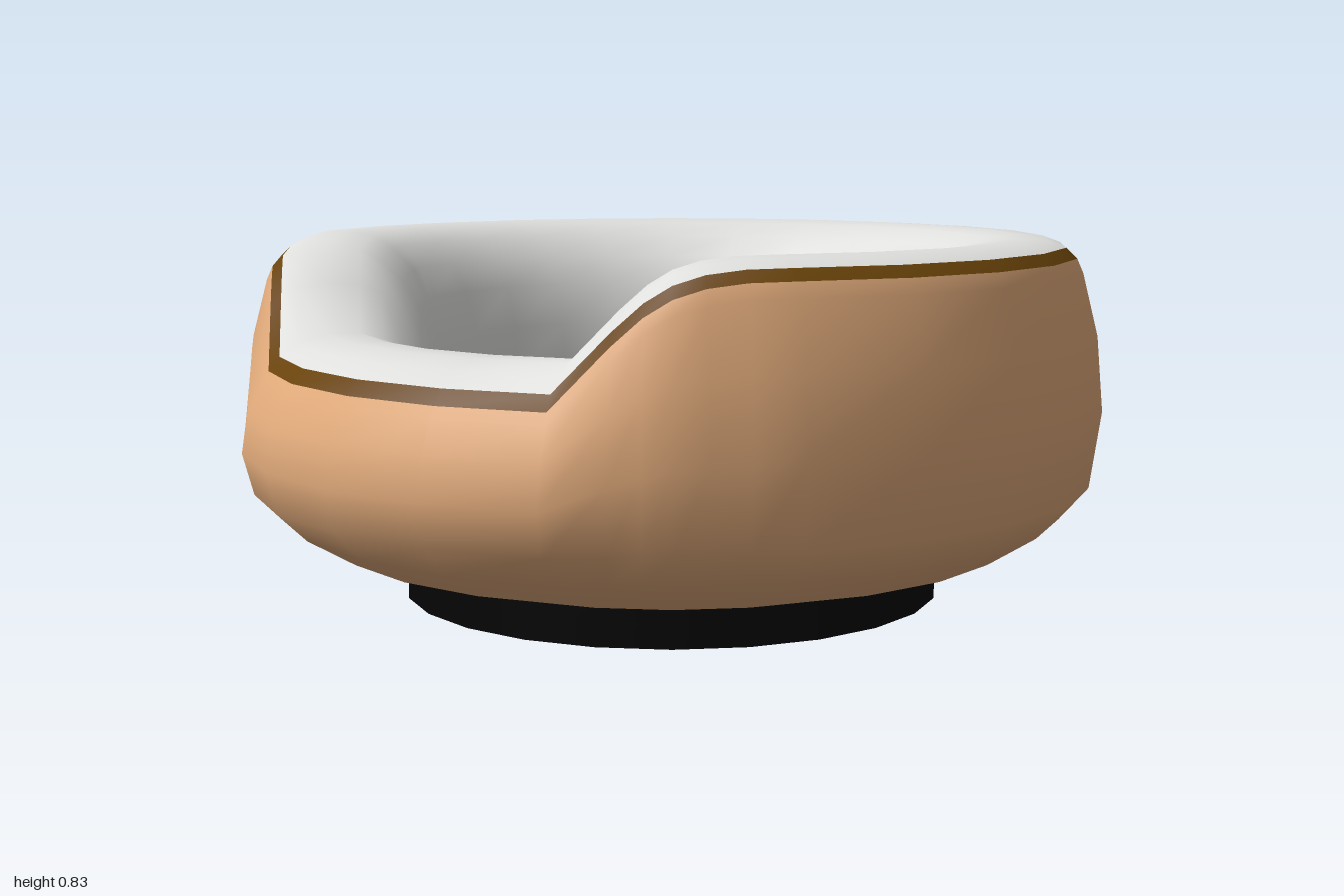
import * as THREE from 'three';

const mat = (name, color) => {
  const m = new THREE.MeshStandardMaterial({ color, side: THREE.DoubleSide });
  m.name = name;
  return m;
};

// Profiles as [radius, height when raised, height at the lowered entrance]
const SHELL = [
  [0.63, 0.085, 0.085], [0.8, 0.13, 0.13], [0.91, 0.2, 0.195], [0.975, 0.275, 0.26],
  [1.0, 0.45, 0.355], [0.985, 0.62, 0.445], [0.95, 0.76, 0.515], [0.936, 0.792, 0.54],
];
const PIPING = [[0.936, 0.792, 0.54], [0.911, 0.816, 0.572]];
const LINING = [
  [0.911, 0.816, 0.572], [0.87, 0.831, 0.602], [0.8, 0.835, 0.62], [0.73, 0.826, 0.621],
  [0.68, 0.796, 0.606], [0.63, 0.745, 0.572], [0.59, 0.675, 0.52], [0.56, 0.575, 0.46],
  [0.55, 0.46, 0.4], [0.557, 0.36, 0.34], [0.582, 0.265, 0.265],
];

// Gently domed floor with an upturned edge, as [radius, height]
const FLOOR = [
  [0.556, 0.395], [0.55, 0.36], [0.535, 0.322], [0.508, 0.304], [0.48, 0.312],
  [0.45, 0.328], [0.38, 0.345], [0.2, 0.357], [0, 0.36],
];

// Rim rise from the entrance (0) to the full height (1), as [degrees, rise]
const RISE = [[30, 0], [37.5, 0.5], [41.5, 0.73], [45, 0.87], [49, 0.95], [54, 0.99], [60, 1]];

// 24 sides, with extra columns lying on the chords where the entrance slopes up
const SIDES = 24;
const STEP = 360 / SIDES;
const COLUMNS = [];
for (let i = 0; i < SIDES; i++) COLUMNS.push(i * STEP);
for (const [deg] of RISE) if (deg % STEP) COLUMNS.push(deg, 360 - deg);
COLUMNS.sort((a, b) => a - b);

function rise(deg) {
  const d = Math.min(deg, 360 - deg);
  if (d < 30) return 0;
  const hit = RISE.find(([angle]) => angle === d);
  return hit ? hit[1] : 1;
}

// Sweep a profile round the bed, following the rim height
function sweep(profile) {
  const pos = [], index = [], n = profile.length;
  for (const deg of COLUMNS) {
    const a = THREE.MathUtils.degToRad(deg);
    const off = THREE.MathUtils.degToRad((deg % STEP) - STEP / 2);
    const chord = Math.cos(Math.PI / SIDES) / Math.cos(off);
    for (const [r, high, low] of profile) {
      pos.push(r * chord * Math.sin(a), low + (high - low) * rise(deg), r * chord * Math.cos(a));
    }
  }
  for (let i = 0; i < COLUMNS.length; i++) {
    const k = (i + 1) % COLUMNS.length;
    for (let j = 0; j < n - 1; j++) {
      const a = i * n + j, b = k * n + j;
      index.push(a, b, b + 1, a, b + 1, a + 1);
    }
  }
  const g = new THREE.BufferGeometry();
  g.setAttribute('position', new THREE.Float32BufferAttribute(pos, 3));
  g.setIndex(index);
  g.computeVertexNormals();
  return g;
}

export function createModel() {
  const tan = mat('tan fabric', 0xe3ac7c);
  const brown = mat('brown piping', 0x694309);
  const white = mat('soft white', 0xdfdfdd);
  const black = mat('black base', 0x050505);

  const group = new THREE.Group();
  group.name = 'petBed';
  const add = (name, geometry, material) => {
    const mesh = new THREE.Mesh(geometry, material);
    mesh.name = name;
    group.add(mesh);
    return mesh;
  };

  add('outerShell', sweep(SHELL), tan);
  add('rimPiping', sweep(PIPING), brown);
  add('paddedLining', sweep(LINING), white);
  add('cushionFloor', new THREE.LatheGeometry(FLOOR.map(p => new THREE.Vector2(...p)), SIDES), white);

  // Open base ring
  add('baseRing', new THREE.CylinderGeometry(0.63, 0.63, 0.085, SIDES, 1, true), black).position.y = 0.0425;

  return group;
}
